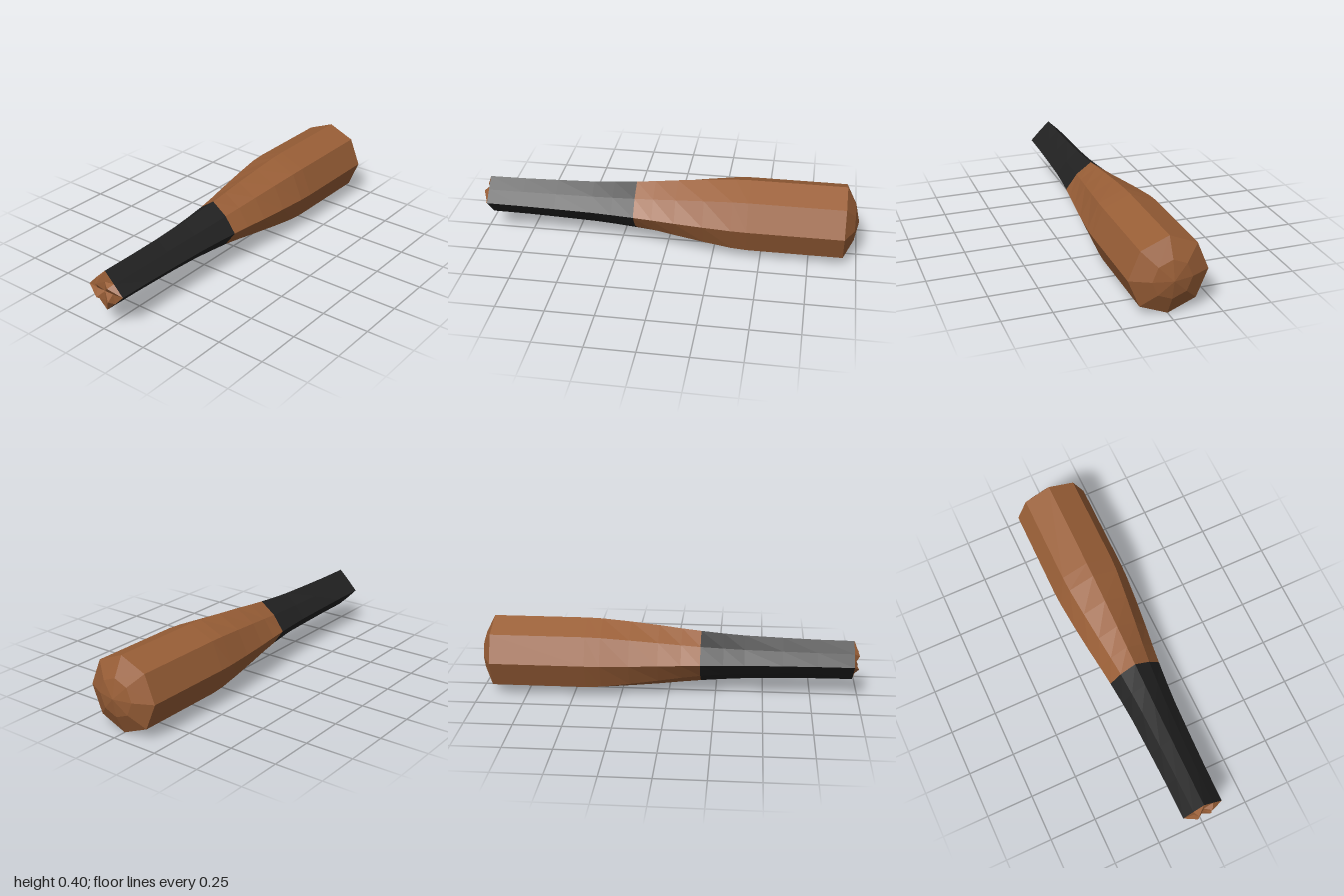
import * as THREE from 'three';

const AXIS_Y = 0.199; // height of the bat's centre line

// Each section: x and radius of the four axis corners, x and y/z offset of the four diagonal corners.
const ring = (x, r, ratio, xDiag = x) => ({ x, r, xDiag, d: r * ratio });

// Faceted skin through eight-cornered sections listed from -x to +x.
function loft(sections) {
  const corner = (s, j) => {
    const a = (j % 8) * Math.PI / 4;
    const diagonal = j % 2 === 1;
    const r = diagonal ? s.d * Math.SQRT2 : s.r;
    return [diagonal ? s.xDiag : s.x, AXIS_Y + r * Math.cos(a), r * Math.sin(a)];
  };
  const points = [];
  for (let i = 0; i < sections.length - 1; i++) {
    const lo = sections[i], hi = sections[i + 1];
    for (let j = 0; j < 8; j++) {
      const a = corner(lo, j), b = corner(lo, j + 1), c = corner(hi, j + 1), d = corner(hi, j);
      if (lo.r > 0) points.push(...a, ...b, ...(hi.r > 0 ? c : d));
      if (hi.r > 0) points.push(...a, ...c, ...d);
    }
  }
  const geometry = new THREE.BufferGeometry();
  geometry.setAttribute('position', new THREE.Float32BufferAttribute(points, 3));
  geometry.computeVertexNormals();
  return geometry;
}

export function createModel() {
  const wood = new THREE.MeshStandardMaterial({ name: 'brown wood', color: 0x9a5f37, flatShading: true });
  const wrap = new THREE.MeshStandardMaterial({ name: 'black grip wrap', color: 0x222222, flatShading: true });

  const bat = new THREE.Group();
  bat.name = 'bat';
  const add = (name, material, sections) => {
    const mesh = new THREE.Mesh(loft(sections), material);
    mesh.name = name;
    bat.add(mesh);
  };

  const gripEnd = ring(-0.97, 0.108, 0.51);
  const gripTop = ring(-0.17, 0.141, 0.58);
  const barrelEnd = ring(0.928, 0.199, 0.707);

  // Notched wooden butt showing past the grip
  add('butt', wood, [
    ring(-0.975, 0, 0),
    ring(-0.975, 0.05, 0.75, -1),
    gripEnd,
  ]);

  // Nearly square wrapped handle
  add('grip', wrap, [
    gripEnd,
    ring(-0.78, 0.11, 0.52),
    ring(-0.6, 0.115, 0.53),
    ring(-0.4, 0.122, 0.55),
    ring(-0.29, 0.13, 0.565),
    gripTop,
  ]);

  // Octagonal barrel swelling out of the handle
  add('barrel', wood, [
    gripTop,
    ring(-0.07, 0.152, 0.605),
    ring(0.05, 0.167, 0.635),
    ring(0.2, 0.183, 0.67),
    ring(0.35, 0.196, 0.7),
    ring(0.43, 0.199, 0.707),
    barrelEnd,
  ]);

  // Domed tip
  add('barrelTip', wood, [
    barrelEnd,
    ring(0.978, 0.1, 0.707),
    ring(1, 0, 0),
  ]);

  return bat;
}
